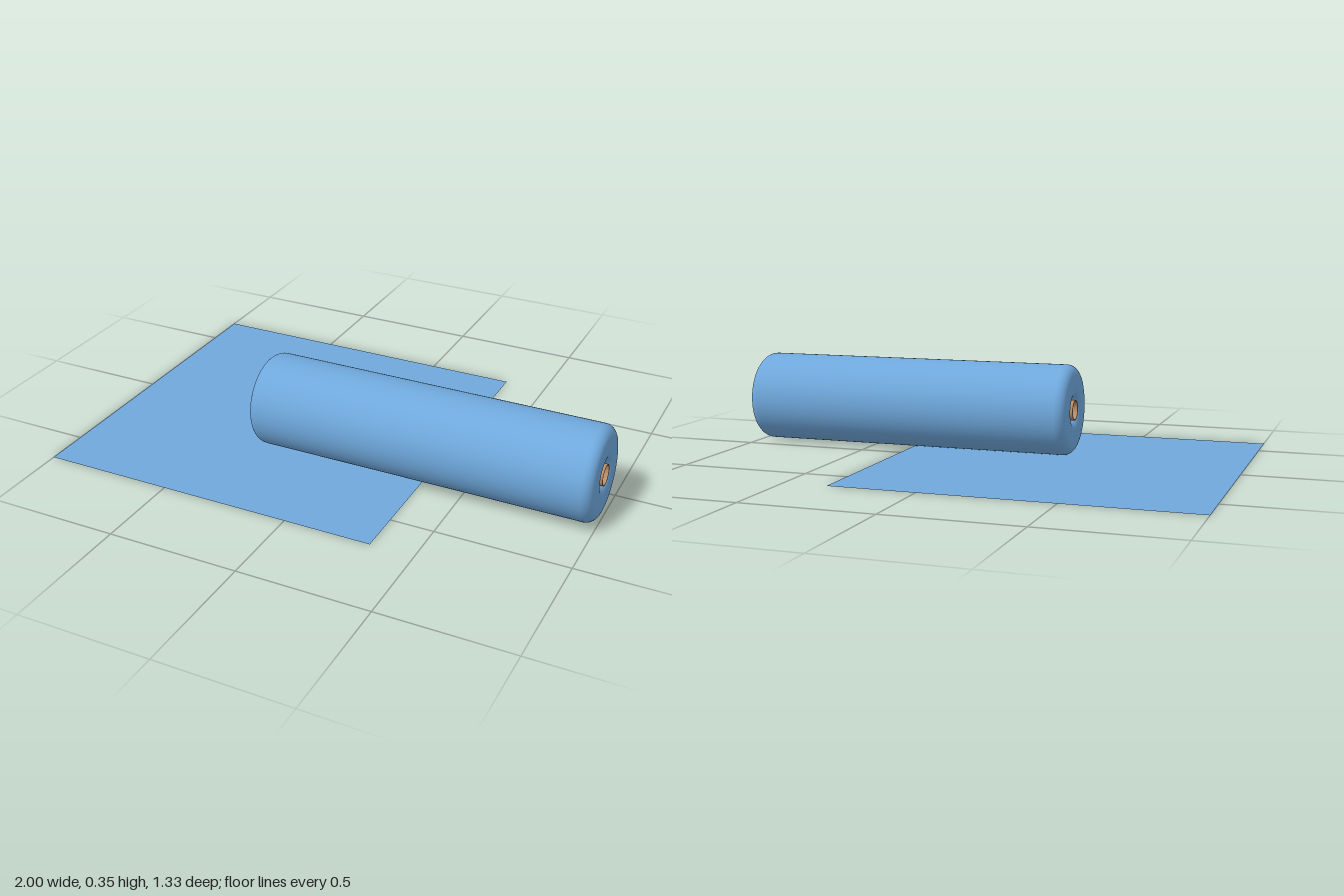
import * as THREE from 'three';

const HALF = 0.667; // half length of the roll and half side of the sheet

// Points of a quarter round, appended to a profile of (radius, along)
function arc(points, cx, cy, r, from, to, steps = 8) {
  for (let i = 0; i <= steps; i++) {
    const a = from + (to - from) * i / steps;
    points.push(new THREE.Vector2(cx + r * Math.cos(a), cy + r * Math.sin(a)));
  }
}

export function createModel() {
  const model = new THREE.Group();
  const blue = new THREE.MeshStandardMaterial({ color: 0x6fa8dc });
  blue.name = 'blue foam';
  blue.side = THREE.DoubleSide;
  const tan = new THREE.MeshStandardMaterial({ color: 0xb98d68 });
  tan.name = 'tan cardboard';
  tan.side = THREE.DoubleSide;

  const roll = new THREE.Group();
  roll.name = 'roll';
  roll.rotation.z = -Math.PI / 2;
  roll.position.set(0.333, 0.178, 0.167);
  model.add(roll);

  // Wound body with rounded outer and inner rims
  const R = 0.177, bore = 0.041, r = 0.04, q = Math.PI / 2;
  const profile = [];
  arc(profile, bore + r, -HALF + r, r, -2 * q, -q);
  arc(profile, R - r, -HALF + r, r, -q, 0);
  arc(profile, R - r, HALF - r, r, 0, q);
  arc(profile, bore + r, HALF - r, r, q, 2 * q);
  profile.push(profile[0].clone());
  const body = new THREE.Mesh(new THREE.LatheGeometry(profile, 64), blue);
  body.name = 'rollBody';
  roll.add(body);

  // Hollow core: outer wall, inner wall and end rings
  for (const radius of [0.04, 0.036]) {
    const wall = new THREE.Mesh(
      new THREE.CylinderGeometry(radius, radius, HALF * 2, 48, 1, true), tan);
    wall.name = radius > 0.038 ? 'coreOuterWall' : 'coreInnerWall';
    if (radius < 0.038) {
      // Turn the inner wall to face the axis
      const index = wall.geometry.index.array;
      for (let i = 0; i < index.length; i += 3) [index[i], index[i + 1]] = [index[i + 1], index[i]];
      const normals = wall.geometry.attributes.normal;
      for (let i = 0; i < normals.count; i++) normals.setXYZ(i, -normals.getX(i), 0, -normals.getZ(i));
    }
    roll.add(wall);
  }
  for (const side of [-1, 1]) {
    const ring = new THREE.Mesh(new THREE.RingGeometry(0.036, 0.04, 48), tan);
    ring.name = 'coreEnd';
    ring.rotation.x = -side * q;
    ring.position.y = side * HALF;
    roll.add(ring);
  }

  // Flat sheet lying under the roll
  const sheet = new THREE.Mesh(new THREE.PlaneGeometry(HALF * 2, HALF * 2), blue);
  sheet.name = 'sheet';
  sheet.rotation.x = -q;
  sheet.position.x = -0.333;
  model.add(sheet);

  return model;
}
